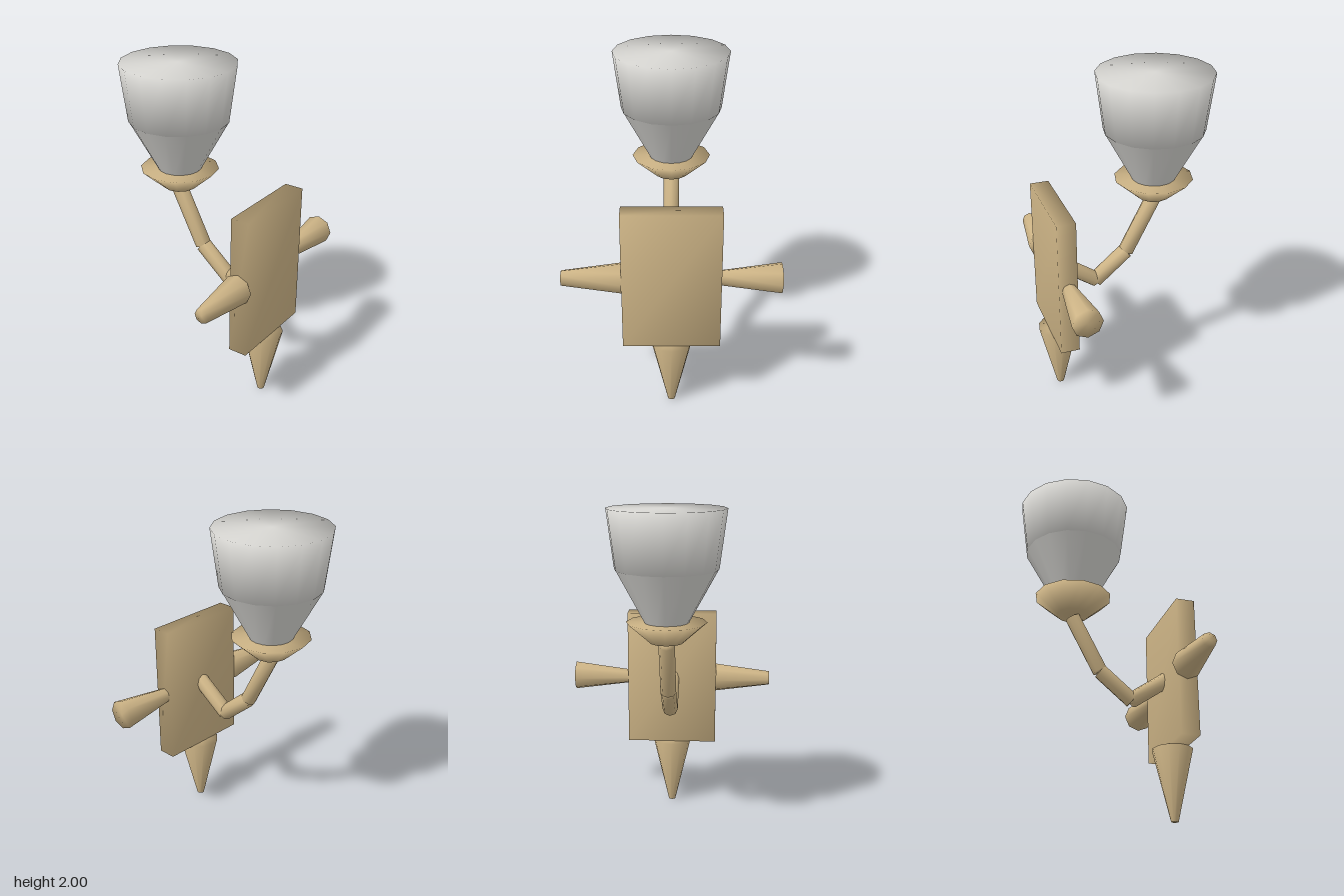
import * as THREE from 'three';
import { mergeVertices } from 'three/addons/utils/BufferGeometryUtils.js';

// Weld all corners so that shading runs smoothly over every edge
function soften(geometry) {
  geometry.deleteAttribute('normal');
  geometry.deleteAttribute('uv');
  const welded = mergeVertices(geometry, 1e-4);
  welded.computeVertexNormals();
  return welded;
}

export function createModel() {
  const group = new THREE.Group();
  const brass = new THREE.MeshStandardMaterial({ color: 0xcdb486 });
  brass.name = 'brass';
  const glass = new THREE.MeshStandardMaterial({ color: 0xd8d7d3 });
  glass.name = 'frostedGlass';

  function add(name, geometry, material) {
    const mesh = new THREE.Mesh(geometry, material);
    mesh.name = name;
    group.add(mesh);
    return mesh;
  }

  // Tapered, closed, softly shaded cylinder between two points
  function taper(name, from, to, r0, r1, sides, material) {
    const a = new THREE.Vector3(...from), b = new THREE.Vector3(...to);
    const dir = b.clone().sub(a);
    const geometry = soften(new THREE.CylinderGeometry(r1, r0, dir.length(), sides));
    const mesh = add(name, geometry, material);
    mesh.position.copy(a).add(b).multiplyScalar(0.5);
    mesh.quaternion.setFromUnitVectors(new THREE.Vector3(0, 1, 0), dir.normalize());
    return mesh;
  }

  const plateZ = 0.42, shadeZ = -0.2;

  // Wall plate with its pointed drop and side spikes
  const plate = add('wallPlate', soften(new THREE.BoxGeometry(0.57, 0.86, 0.114)), brass);
  plate.position.set(0, 0.86, plateZ + 0.006);
  taper('lowerSpike', [0, 0, plateZ], [0, 0.43, plateZ], 0.022, 0.123, 12, brass);
  taper('rightSpike', [-0.63, 0.86, plateZ], [-0.285, 0.86, plateZ], 0.045, 0.091, 8, brass);
  taper('leftSpike', [0.285, 0.86, plateZ], [0.63, 0.86, plateZ], 0.045, 0.091, 8, brass);

  // Bent arm made of three straight tubes
  const arm = [
    [[0.4, 0.88], [0.17, 0.718]],
    [[0.175, 0.714], [-0.024, 0.882]],
    [[-0.026, 0.884], [-0.2, 1.217]],
  ];
  arm.forEach(([[z0, y0], [z1, y1]], i) =>
    taper('armSegment' + (i + 1), [0, y0, z0], [0, y1, z1], 0.048, 0.048, 8, brass));

  // Cup under the shade
  taper('cup', [0, 1.235, shadeZ], [0, 1.355, shadeZ], 0.098, 0.235, 12, brass);

  // Shade: open lower cone and closed upper part
  const lower = add('lowerShade', new THREE.CylinderGeometry(0.296, 0.13, 0.305, 16, 1, true), glass);
  lower.position.set(0, 1.5075, shadeZ);
  taper('upperShade', [0, 1.66, shadeZ], [0, 2, shadeZ], 0.298, 0.342, 16, glass);

  return group;
}
